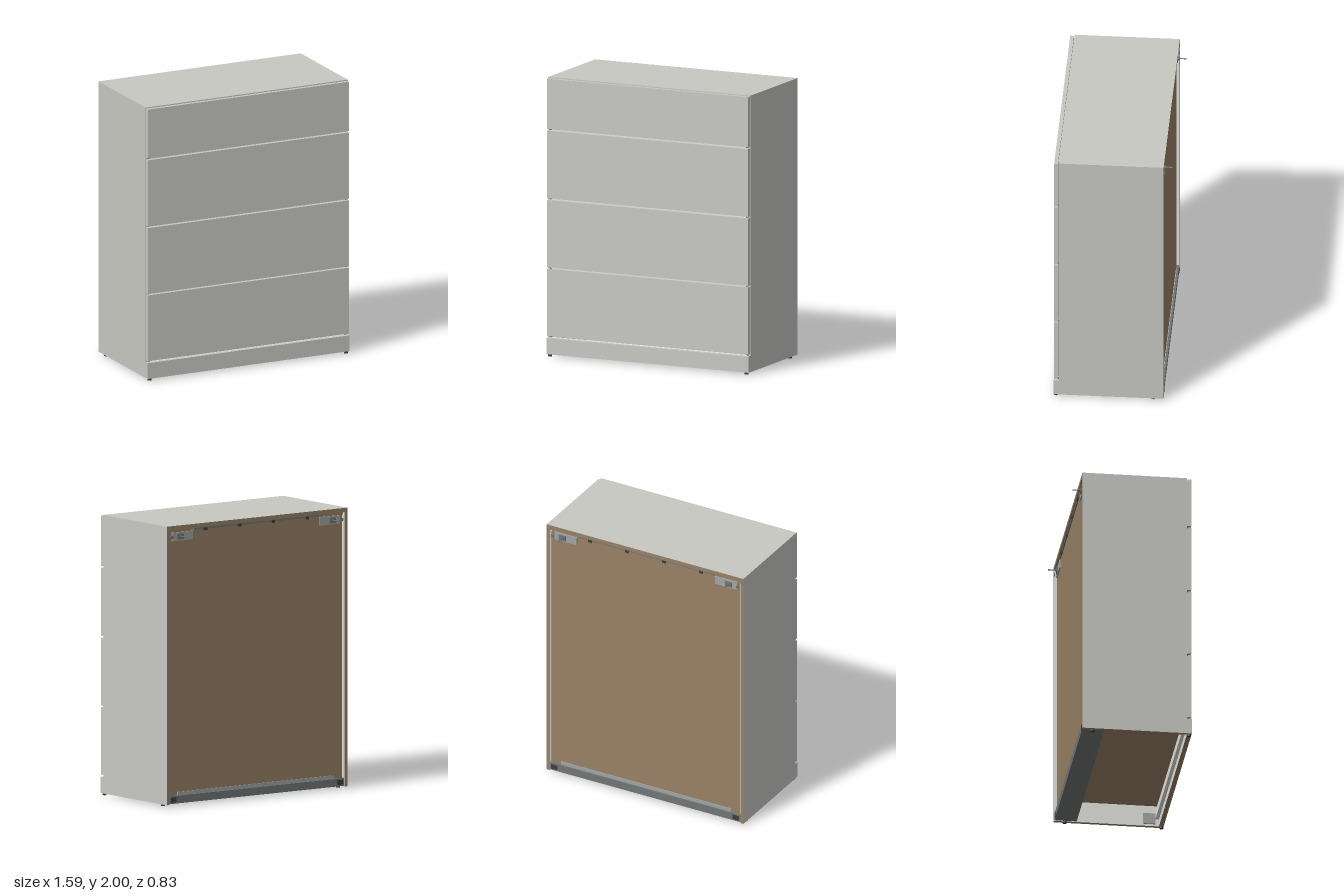
import * as THREE from 'three';

const material = (name, color) => {
  const m = new THREE.MeshStandardMaterial({ color });
  m.name = name;
  return m;
};

export function createModel() {
  const paint = material('grey paint', 0xc8c8c3);
  const inner = material('pale inner finish', 0xe6e6e1);
  const board = material('raw board', 0x998266);
  const metal = material('grey metal', 0x727676);
  const lightMetal = material('light metal', 0xa2a5a5);
  const dark = material('dark plastic', 0x3c3e3e);

  const group = new THREE.Group();

  // Box given by its min and max along each axis
  const box = (name, mat, x0, x1, y0, y1, z0, z1) => {
    const mesh = new THREE.Mesh(new THREE.BoxGeometry(x1 - x0, y1 - y0, z1 - z0), mat);
    mesh.position.set((x0 + x1) / 2, (y0 + y1) / 2, (z0 + z1) / 2);
    mesh.name = name;
    group.add(mesh);
    return mesh;
  };
  // Same box on either side, a and b being distances from the middle
  const pair = (name, mat, a, b, ...rest) => {
    box(name + 'Left', mat, a, b, ...rest);
    box(name + 'Right', mat, -b, -a, ...rest);
  };
  const rod = (name, mat, r, length, x, y, z, alongZ) => {
    const mesh = new THREE.Mesh(new THREE.CylinderGeometry(r, r, length, 16), mat);
    mesh.position.set(x, y, z);
    if (alongZ) mesh.rotation.x = Math.PI / 2;
    mesh.name = name;
    group.add(mesh);
  };

  const W = 0.797, T = 0.025, BACK = -0.36, FRONT = 0.385;

  // Box face order: +x, -x, +y, -y, +z, -z; raw edges at back and underside
  const sideMats = [paint, paint, paint, board, paint, board];
  box('leftSide', [paint, inner, ...sideMats.slice(2)], W - T, W, 0.015, 1.97, BACK, FRONT);
  box('rightSide', [inner, paint, ...sideMats.slice(2)], -W, -W + T, 0.015, 1.97, BACK, FRONT);
  box('top', sideMats, -W, W, 1.97, 2, BACK, FRONT);

  // Recessed back panel with pale edge strips beside it
  box('backPanel', board, -W + T, W - T, 0.075, 1.97, -0.34, -0.33);
  pair('backGroove', inner, W - T - 0.006, W - T, 0.08, 1.95, -0.35, -0.34);

  // Drawers: front, box sides, back and bottom
  const fronts = [[0.14, 0.628], [0.634, 1.122], [1.13, 1.62], [1.628, 1.993]];
  fronts.forEach(([y0, y1], i) => {
    const n = 'drawer' + (i + 1);
    box(n + 'Front', paint, -0.793, 0.793, y0 + 0.004, y1, 0.388, 0.415);
    const top = Math.min(y1 - 0.1, 1.85);
    pair(n + 'Side', inner, 0.725, 0.745, y0 + 0.02, top, -0.3, 0.388);
    box(n + 'Back', inner, -0.725, 0.725, y0 + 0.02, top, -0.3, -0.28);
    box(n + 'Bottom', board, -0.725, 0.725, y0 + 0.01, y0 + 0.02, -0.3, 0.388);
    pair(n + 'Runner', metal, 0.746, 0.771, y0 + 0.03, y0 + 0.07, -0.3, 0.37);
    // Small stop in the gap below each front
    pair(n + 'Stop', dark, 0.765, 0.782, y0 - 0.004, y0 + 0.004, 0.386, 0.396);
  });

  // Cross rails behind the gaps
  [0.635, 1.125, 1.625].forEach((y) =>
    box('crossRail', inner, -0.772, 0.772, y - 0.02, y + 0.02, 0.35, 0.38));
  box('topFrontRail', inner, -0.772, 0.772, 1.93, 1.97, 0.35, 0.38);

  // Plinth with a stiffening ledge behind it
  box('plinth', [paint, paint, paint, board, paint, inner], -0.795, 0.795, 0.015, 0.131, 0.385, 0.418);
  box('plinthLedge', inner, -0.772, 0.772, 0.07, 0.131, 0.36, 0.385);
  pair('plinthBracket', lightMetal, 0.762, 0.772, 0.03, 0.11, 0.27, 0.36);

  // Metal rail along the bottom of the back
  box('backRailFace', metal, -0.772, 0.772, 0.02, 0.075, -0.357, -0.347);
  box('backRailBase', metal, -0.772, 0.772, 0.02, 0.03, -0.347, -0.2);
  box('backRailTop', metal, -0.772, 0.772, 0.068, 0.075, -0.347, -0.33);
  box('backRailFlange', lightMetal, -0.69, 0.69, 0.075, 0.1, -0.346, -0.34);
  pair('backRailClip', dark, 0.71, 0.76, 0.03, 0.065, -0.36, -0.357);

  // Thin rail with clips under the top of the back
  box('topBackRail', metal, -0.55, 0.55, 1.955, 1.97, -0.349, -0.34);
  [-0.45, -0.15, 0.15, 0.45].forEach((x) =>
    box('railClip', dark, x - 0.015, x + 0.015, 1.945, 1.965, -0.354, -0.349));

  // Wall brackets with pins, and feet
  for (const s of [-1, 1]) {
    const plate = (name, mat, a, b, y0, y1, z0, z1) =>
      box(name, mat, Math.min(s * a, s * b), Math.max(s * a, s * b), y0, y1, z0, z1);
    plate('wallBracket', lightMetal, 0.56, 0.74, 1.89, 1.95, -0.35, -0.34);
    plate('bracketBlock', metal, 0.645, 0.70, 1.9, 1.94, -0.358, -0.35);
    rod('pinCollar', metal, 0.011, 0.014, s * 0.672, 1.92, -0.358, true);
    rod('wallPin', metal, 0.004, 0.06, s * 0.672, 1.92, -0.385, true);
    rod('bracketScrew', metal, 0.012, 0.006, s * 0.75, 1.92, -0.36, true);
    for (const z of [0.402, -0.285]) rod('foot', dark, 0.014, 0.024, s * 0.773, 0.012, z, false);
  }

  return group;
}
